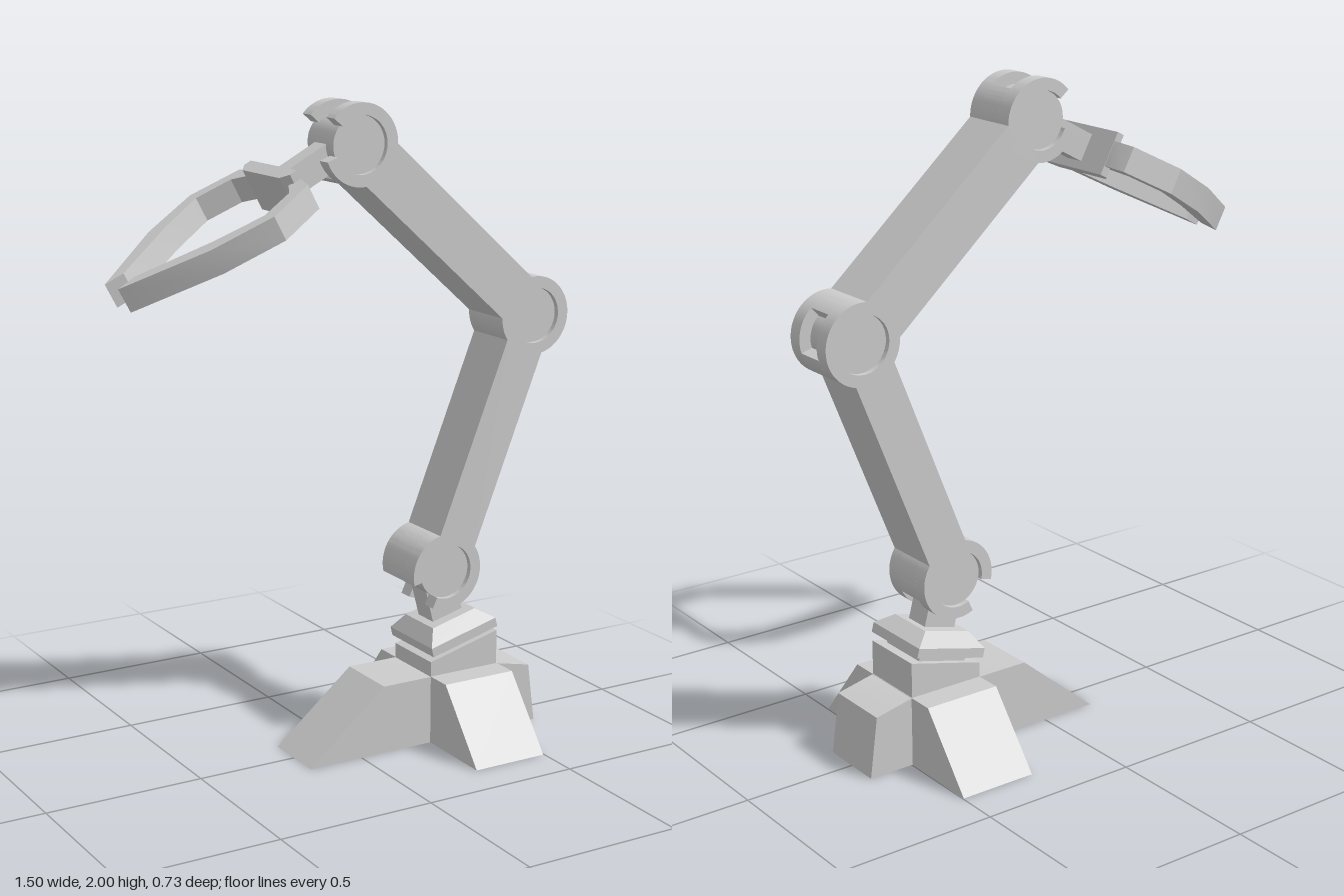
import * as THREE from 'three';
import { toCreasedNormals } from 'three/addons/utils/BufferGeometryUtils.js';

const material = new THREE.MeshStandardMaterial({ color: 0xcccccc });
const DEG = Math.PI / 180;
const HALF = 0.092; // half width of the arm
const SLOT = 0.045; // half width of the fork slots
const PIN_R = 0.086;
const RING_R = 0.122;

function add(parent, name, geometry, x = 0, y = 0, z = 0) {
  const mesh = new THREE.Mesh(toCreasedNormals(geometry, 0.5), material);
  mesh.name = name;
  mesh.position.set(x, y, z);
  parent.add(mesh);
  return mesh;
}

function subgroup(parent, name, x, y, angle = 0) {
  const g = new THREE.Group();
  g.name = name;
  g.position.set(x, y, 0);
  g.rotation.z = angle;
  parent.add(g);
  return g;
}

// extrude a shape between z0 and z1
function slab(shape, z0, z1) {
  const g = new THREE.ExtrudeGeometry(shape, { depth: z1 - z0, bevelEnabled: false, curveSegments: 32 });
  return g.translate(0, 0, z0);
}

const polygon = (pts) => new THREE.Shape(pts.map(([x, y]) => new THREE.Vector2(x, y)));

// ring piece running counter-clockwise from a to b (degrees)
function arcShape(a, b) {
  const s = new THREE.Shape();
  s.absarc(0, 0, RING_R, a * DEG, b * DEG, false);
  if (b - a >= 360) {
    const hole = new THREE.Path();
    hole.absarc(0, 0, PIN_R, 0, Math.PI * 2, true);
    s.holes.push(hole);
  } else {
    s.absarc(0, 0, PIN_R, b * DEG, a * DEG, true);
    s.closePath();
  }
  return s;
}

// square frustum along y
function frustum(top, bottom, y0, y1) {
  return new THREE.CylinderGeometry(top * Math.SQRT2, bottom * Math.SQRT2, y1 - y0, 4)
    .rotateY(Math.PI / 4).translate(0, (y0 + y1) / 2, 0);
}

// forked joint: two cheeks, a slotted web between them and a recessed pin
function addJoint(parent, name, x, y, cheek, web) {
  const g = subgroup(parent, name, x, y);
  add(g, 'frontCheek', slab(arcShape(...cheek), SLOT, HALF));
  add(g, 'backCheek', slab(arcShape(...cheek), -HALF, -SLOT));
  add(g, 'web', slab(arcShape(...web), -SLOT, SLOT));
  add(g, 'pin', new THREE.CylinderGeometry(PIN_R, PIN_R, 0.15, 40).rotateX(Math.PI / 2));
}

// beam between two joint centres
function addBeam(parent, name, [x0, y0], [x1, y1], half) {
  const length = Math.hypot(x1 - x0, y1 - y0) - 0.18;
  const beam = add(parent, name, new THREE.BoxGeometry(length, half * 2, HALF * 2), (x0 + x1) / 2, (y0 + y1) / 2);
  beam.rotation.z = Math.atan2(y1 - y0, x1 - x0);
}

export function createModel() {
  const model = new THREE.Group();
  model.name = 'roboticArm';

  // cross-shaped foot
  const base = subgroup(model, 'base', 0, 0);
  add(base, 'longFoot', slab(polygon([[-0.18, 0], [0.645, 0], [0.62, 0.19], [0.497, 0.217], [0.08, 0.217]]), -0.105, 0.105));
  add(base, 'crossFoot', slab(polygon([[-0.367, 0], [0.367, 0], [0.19, 0.218], [-0.19, 0.218]]), 0.25, 0.497).rotateY(Math.PI / 2));
  add(base, 'slantedBlock', slab(polygon([[0.25, 0.2], [0.495, 0.2], [0.495, 0.328], [0.25, 0.265]]), -0.105, 0.105));

  // tilted turntable and its peg
  const turntable = subgroup(model, 'turntable', 0.373, 0.296, 14.6 * DEG);
  add(turntable, 'spacer', frustum(0.085, 0.085, -0.02, 0.025));
  add(turntable, 'plate', frustum(0.122, 0.122, 0.022, 0.052));
  add(turntable, 'taperedCap', frustum(0.08, 0.122, 0.052, 0.092));
  add(turntable, 'peg', new THREE.BoxGeometry(0.11, 0.14, 0.084), 0, 0.155, 0);

  // joints and the two beams
  const lower = [0.315, 0.545];
  const elbow = [0.627, 1.322];
  const upper = [0.005, 1.878];
  addJoint(model, 'baseJoint', ...lower, [-115, 193], [-27, 193]);
  addJoint(model, 'elbowJoint', ...elbow, [0, 360], [48, 343]);
  addJoint(model, 'wristJoint', ...upper, [-159, 139], [-125, 50]);
  addBeam(model, 'lowerBeam', lower, elbow, 0.069);
  addBeam(model, 'upperBeam', elbow, upper, 0.08);

  // gripper: local x runs outward along the hand
  const gripper = subgroup(model, 'gripper', ...upper, 208.2 * DEG);
  add(gripper, 'wristPeg', new THREE.BoxGeometry(0.2, 0.085, 0.064), 0.15, 0, 0);
  add(gripper, 'palm', slab(polygon([[0.237, -0.138], [0.262, -0.138], [0.285, -0.11], [0.285, 0.11], [0.262, 0.138], [0.237, 0.138]]), -0.067, 0.067)
    .rotateX(Math.PI / 2));
  const finger = [[0.245, 0.1], [0.238, 0.14], [0.256, 0.207], [0.41, 0.26], [0.595, 0.2], [0.836, 0.045],
    [0.775, 0.035], [0.56, 0.155], [0.415, 0.212], [0.305, 0.177], [0.275, 0.125], [0.275, 0.1]];
  for (const side of [1, -1]) {
    const outline = polygon(finger.map(([s, z]) => [s, z * side]));
    add(gripper, side > 0 ? 'frontFinger' : 'backFinger', slab(outline, -0.039, 0.039).rotateX(Math.PI / 2));
  }

  return model;
}
